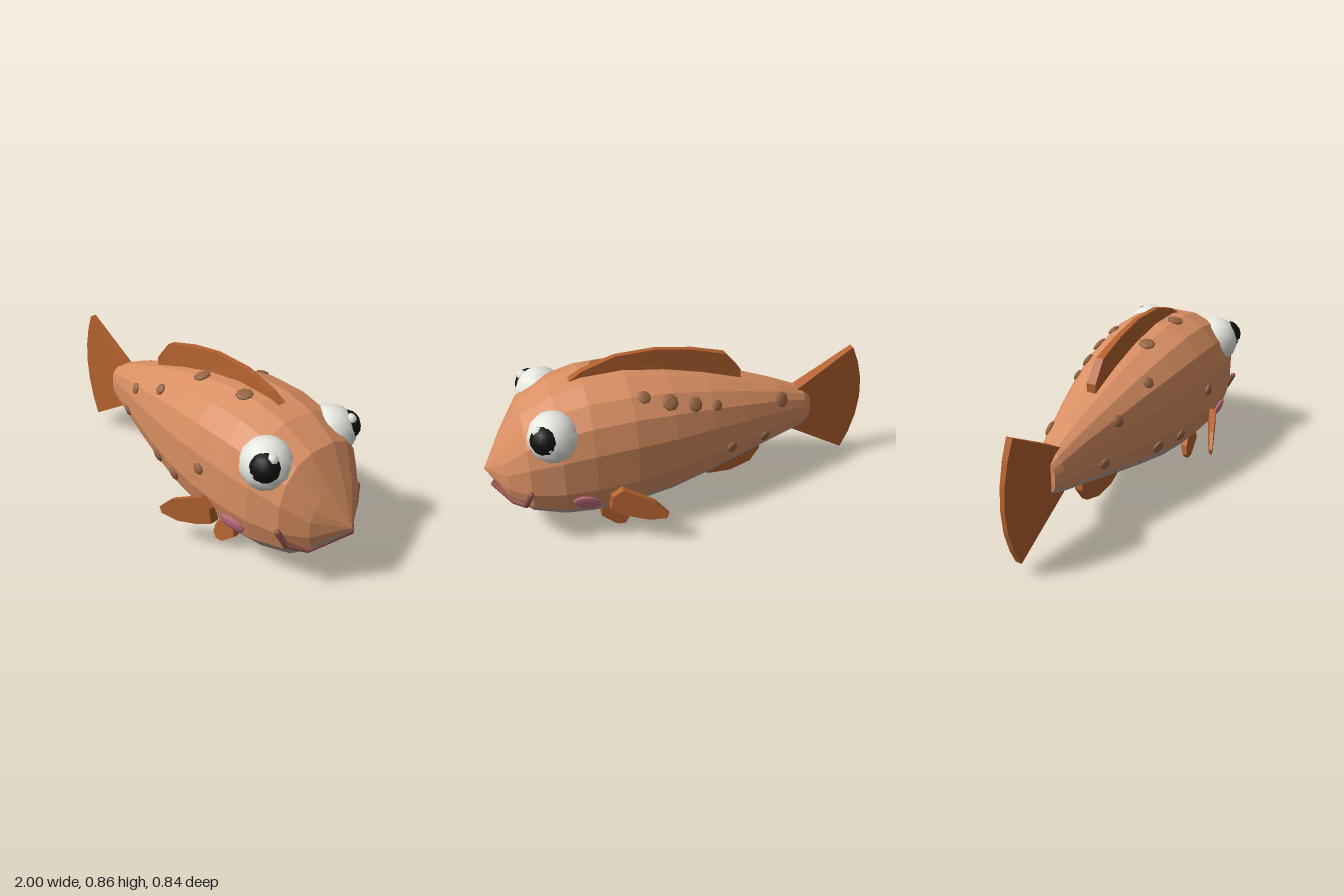
import * as THREE from 'three';

const mat = (name, color) => {
  const m = new THREE.MeshStandardMaterial({ color });
  m.name = name;
  return m;
};

// Body stations: x, top y, bottom y, half width
const STATIONS = [
  [-0.69, 0.385, 0.385, 0], [-0.69, 0.465, 0.305, 0.05], [-0.65, 0.5, 0.285, 0.075],
  [-0.5, 0.565, 0.25, 0.12], [-0.3, 0.635, 0.2, 0.18], [-0.1, 0.7, 0.15, 0.235],
  [0.1, 0.75, 0.105, 0.28], [0.3, 0.78, 0.08, 0.308], [0.5, 0.775, 0.072, 0.311],
  [0.65, 0.74, 0.085, 0.298], [0.8, 0.655, 0.125, 0.25], [0.9, 0.5, 0.2, 0.16],
  [1, 0.34, 0.34, 0],
];
const SIDES = 16;

// Point on a squarish cross-section; angle runs from the top towards +z
const power = (v) => Math.sign(v) * Math.abs(v) ** 0.8;
const sectionPoint = ([x, top, bottom, half], a) => new THREE.Vector3(
  x,
  (top + bottom) / 2 + power(Math.cos(a)) * (top - bottom) / 2 / 0.985,
  power(Math.sin(a)) * half / 0.985,
);

// Point on the body at any x
function bodyPoint(x, a) {
  let i = 1;
  while (i < STATIONS.length - 2 && STATIONS[i + 1][0] < x) i++;
  const p = STATIONS[i], q = STATIONS[i + 1];
  const t = (x - p[0]) / (q[0] - p[0]);
  return sectionPoint(p.map((v, k) => v + (q[k] - v) * t), a);
}

// Flat-shaded strip of body faces between two section indices
function bodySkin(from, to) {
  const pos = [];
  const angle = (j) => ((j + 0.5) / SIDES) * Math.PI * 2;
  for (let i = 0; i < STATIONS.length - 1; i++) {
    for (let j = from; j < to; j++) {
      const a = sectionPoint(STATIONS[i], angle(j));
      const b = sectionPoint(STATIONS[i + 1], angle(j));
      const c = sectionPoint(STATIONS[i + 1], angle(j + 1));
      const d = sectionPoint(STATIONS[i], angle(j + 1));
      for (const v of [a, d, c, a, c, b]) pos.push(v.x, v.y, v.z);
    }
  }
  const g = new THREE.BufferGeometry();
  g.setAttribute('position', new THREE.Float32BufferAttribute(pos, 3));
  g.computeVertexNormals();
  return g;
}

// Fin: outline in x/y, with thickness and sideways offset given by rules
function finGeometry(points, thickness, offset = () => 0) {
  const shape = new THREE.Shape(points.map(([x, y]) => new THREE.Vector2(x, y)));
  const g = new THREE.ExtrudeGeometry(shape, { depth: 1, bevelEnabled: false });
  const p = g.attributes.position;
  for (let i = 0; i < p.count; i++) {
    const x = p.getX(i), y = p.getY(i);
    p.setZ(i, offset(x, y) + (p.getZ(i) - 0.5) * thickness(x, y));
  }
  g.computeVertexNormals();
  return g;
}

export function createModel() {
  const model = new THREE.Group();
  model.name = 'fish';
  const skin = mat('orange skin', 0xd98f63);
  const bellyMat = mat('pale belly', 0xbca697);
  const finMat = mat('rust fin', 0xb4622f);
  const spotMat = mat('brown spot', 0x966544);
  const white = mat('eye white', 0xf4f4ee);
  const black = mat('pupil black', 0x111111);
  const pink = mat('cheek pink', 0xc47080);
  const lip = mat('lip', 0x96564c);

  const add = (name, geometry, material) => {
    const m = new THREE.Mesh(geometry, material);
    m.name = name;
    model.add(m);
    return m;
  };
  const ball = (name, r, position, material, w = 12, h = 9) =>
    add(name, new THREE.SphereGeometry(r, w, h), material).position.set(...position);

  // Flattened disc lying on the body surface
  const patch = (name, x, degrees, rx, ry, depth, material) => {
    const a = THREE.MathUtils.degToRad(degrees);
    const p = bodyPoint(x, a);
    const dx = bodyPoint(x + 0.02, a).sub(bodyPoint(x - 0.02, a));
    const da = bodyPoint(x, a + 0.1).sub(bodyPoint(x, a - 0.1));
    const m = add(name, new THREE.SphereGeometry(1, 8, 6).rotateX(Math.PI / 2), material);
    m.position.copy(p);
    m.quaternion.setFromUnitVectors(new THREE.Vector3(0, 0, 1), da.cross(dx).normalize());
    m.scale.set(rx, ry, depth);
  };

  // Body
  add('body', bodySkin(10, 21), skin);
  add('belly', bodySkin(5, 10), bellyMat);

  // Fins on the centre line
  add('tailFin', finGeometry([
    [-0.6, 0.5], [-0.92, 0.7], [-0.96, 0.61], [-0.99, 0.5], [-1, 0.385],
    [-0.99, 0.27], [-0.96, 0.16], [-0.92, 0.07], [-0.6, 0.27],
  ], (x) => 0.024 + (x + 1) * 0.11), finMat);
  add('dorsalFin', finGeometry([
    [-0.3, 0.6], [0.1, 0.7], [0.5, 0.72], [0.555, 0.765], [0.49, 0.805], [0.33, 0.855],
    [0.13, 0.86], [-0.05, 0.83], [-0.22, 0.78], [-0.3, 0.68],
  ], (x, y) => 0.026 + Math.min((0.86 - y) * 0.16, 0.022)), finMat);
  add('analFin', finGeometry([
    [-0.42, 0.25], [-0.43, 0.17], [-0.38, 0.09], [-0.27, 0.05],
    [-0.15, 0.055], [-0.08, 0.09], [-0.03, 0.14], [-0.05, 0.2],
  ], (x, y) => 0.028 + (y - 0.05) * 0.1), finMat);

  for (const s of [1, -1]) {
    const side = s > 0 ? 'front' : 'back';
    // Paired fins
    add(side + 'PectoralFin', finGeometry([
      [0.2, 0.165], [0.28, 0.15], [0.38, 0.17], [0.45, 0.2],
      [0.44, 0.28], [0.39, 0.325], [0.25, 0.265], [0.19, 0.2],
    ], (x) => 0.016 + (x - 0.19) * 0.11, (x) => s * (0.3 + (0.45 - x) * 0.43)), finMat);
    add(side + 'PelvicFin', finGeometry([
      [0.38, 0.13], [0.35, 0.08], [0.34, 0.03], [0.36, 0.002], [0.4, 0.005],
      [0.44, 0.04], [0.48, 0.075], [0.47, 0.13],
    ], (x, y) => 0.02 + y * 0.2, (x, y) => s * (0.2 - y * 0.2)), finMat);

    // Eye
    ball(side + 'EyeWhite', 0.123, [0.67, 0.6, s * 0.203], white);
    ball(side + 'Pupil', 0.074, [0.711, 0.625, s * 0.253], black);
    ball(side + 'EyeHighlight', 0.028, [0.743, 0.672, s * 0.25], white, 8, 6);
    ball(side + 'EyeGlint', 0.011, [0.705, 0.607, s * 0.317], white, 6, 5);

    // Cheek
    patch(side + 'Cheek', 0.555, s * 114, 0.075, 0.047, 0.015, pink);
  }

  // Spots: x, angle from the top in degrees, radius
  [
    [-0.08, 45, 0.03], [-0.32, 61, 0.03], [-0.42, 103, 0.03], [-0.055, 113, 0.037],
    [0.12, 111, 0.032], [0.35, 88, 0.03], [0.105, 11, 0.042], [0.4, 11, 0.042],
    [-0.12, -52, 0.028], [-0.005, -48, 0.038], [0.12, -43, 0.042], [0.24, -35, 0.033],
    [-0.5, -53, 0.04], [-0.2, -101, 0.03], [-0.4, -107, 0.03],
  ].forEach(([x, a, r], i) => patch('spot' + (i + 1), x, a, r, r, 0.013, spotMat));

  // Mouth: a bent tube with straight pieces
  const path = [
    [0.81, 0.34, 0.265], [0.835, 0.26, 0.225], [0.885, 0.226, 0.145], [0.965, 0.278, -0.05],
    [0.885, 0.226, -0.147], [0.835, 0.26, -0.235], [0.81, 0.34, -0.268],
  ].map((p) => new THREE.Vector3(...p));
  const curve = new THREE.Curve();
  curve.getPoint = (t) => {
    const u = Math.min(Math.max(t, 0), 1) * (path.length - 1);
    const i = Math.min(Math.floor(u), path.length - 2);
    return path[i].clone().lerp(path[i + 1], u - i);
  };
  curve.getPointAt = curve.getPoint;
  curve.getTangentAt = (t) => curve.getTangent(t);
  add('mouth', new THREE.TubeGeometry(curve, path.length - 1, 0.015, 6), lip);
  for (const i of [0, path.length - 1]) ball('mouthCorner', 0.015, path[i].toArray(), lip, 6, 4);

  return model;
}
